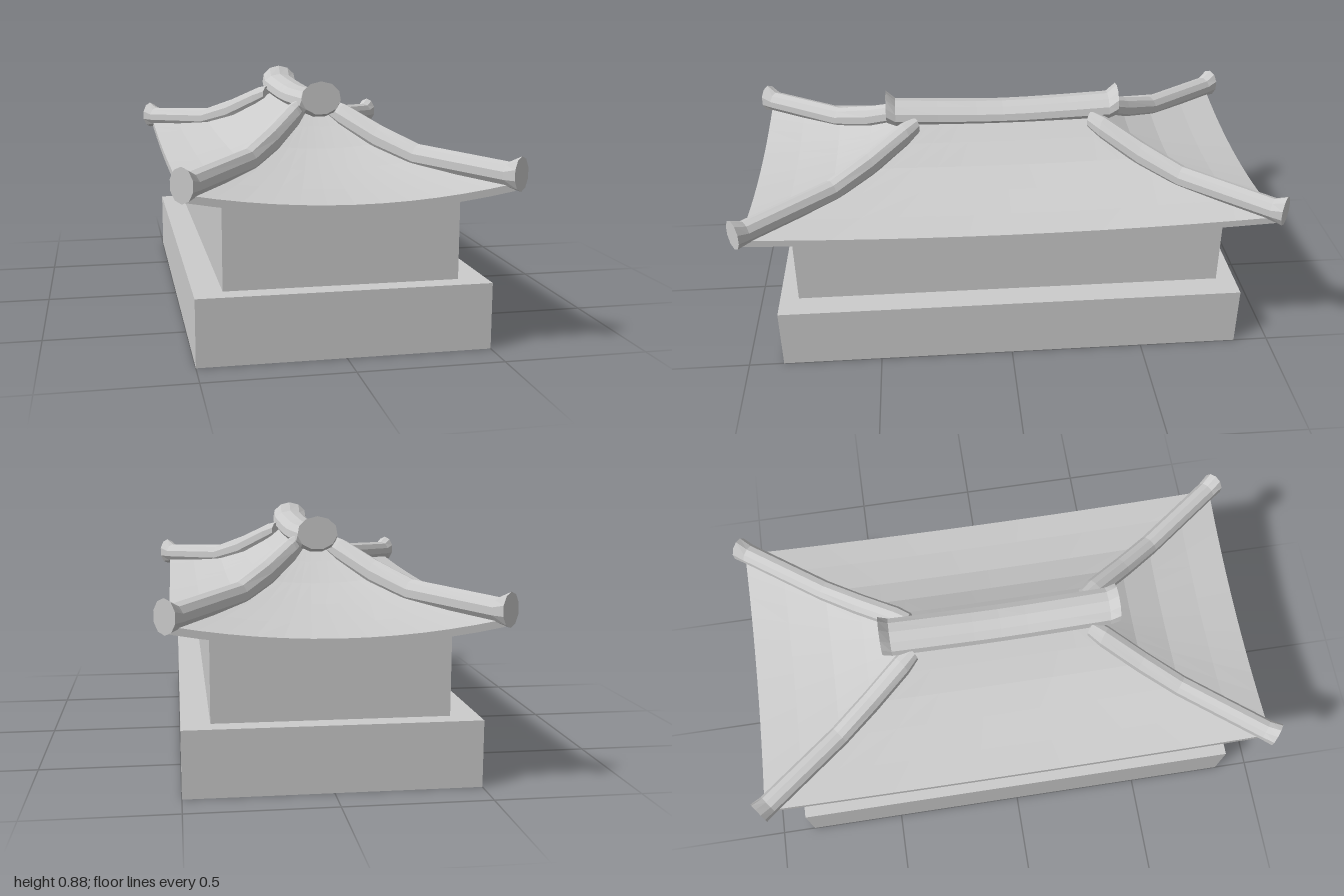
import * as THREE from 'three';

const grey = new THREE.MeshStandardMaterial({ color: 0xcccccc, flatShading: true, side: THREE.DoubleSide });

// Skin a list of closed rings (arrays of Vector3), with optional end caps.
function loft(name, rings, caps = [true, true]) {
  const n = rings[0].length, pos = [], idx = [];
  rings.forEach(r => r.forEach(p => pos.push(p.x, p.y, p.z)));
  for (let i = 0; i < rings.length - 1; i++) {
    for (let j = 0; j < n; j++) {
      const k = (j + 1) % n;
      const a = i * n + j, b = i * n + k, c = a + n, d = b + n;
      idx.push(a, b, d, a, d, c);
    }
  }
  [0, rings.length - 1].forEach((r, e) => {
    if (!caps[e]) return;
    const centre = rings[r].reduce((s, p) => s.add(p), new THREE.Vector3()).divideScalar(n);
    const ci = pos.length / 3;
    pos.push(centre.x, centre.y, centre.z);
    for (let j = 0; j < n; j++) {
      const a = r * n + j, b = r * n + (j + 1) % n;
      idx.push(ci, e ? a : b, e ? b : a);
    }
  });
  const g = new THREE.BufferGeometry();
  g.setAttribute('position', new THREE.Float32BufferAttribute(pos, 3));
  g.setIndex(idx);
  g.computeVertexNormals();
  const m = new THREE.Mesh(g, grey);
  m.name = name;
  return m;
}

// Upright oval rings along a straight plan line; stations are [x, y, z, rx, ry].
function ridgeTile(name, stations, sides) {
  const at = s => new THREE.Vector3(s[0], s[1], s[2]);
  const dir = at(stations[stations.length - 1]).sub(at(stations[0])).setY(0).normalize();
  const side = new THREE.Vector3(0, 1, 0).cross(dir);
  return loft(name, stations.map(s => Array.from({ length: sides }, (_, j) => {
    const a = Math.PI / 2 + j * 2 * Math.PI / sides;
    const p = at(s).addScaledVector(side, s[3] * Math.cos(a));
    p.y += s[4] * Math.sin(a);
    return p;
  })));
}

// Rectangular ring whose sides sag between raised corners.
function sagRing(hx, hz, y, sag) {
  const seg = 12, ring = [];
  const corners = [[1, 1], [1, -1], [-1, -1], [-1, 1]];
  corners.forEach(([x, z], c) => {
    const [x2, z2] = corners[(c + 1) % 4];
    const drop = (c % 2 ? 0.05 : 0.025) * sag;
    for (let i = 0; i < seg; i++) {
      const t = i / seg, u = 2 * t - 1;
      ring.push(new THREE.Vector3(
        hx * (x + (x2 - x) * t), y - drop * (1 - u * u), hz * (z + (z2 - z) * t)));
    }
  });
  return ring;
}

function box(name, w, y0, y1, d) {
  const m = new THREE.Mesh(new THREE.BoxGeometry(w, y1 - y0, d), grey);
  m.position.y = (y0 + y1) / 2;
  m.name = name;
  return m;
}

export function createModel() {
  const model = new THREE.Group();
  model.name = 'hipRoofPavilion';

  // Plinth and walls
  model.add(box('plinth', 1, 0, 0.23, 1.74));
  model.add(box('walls', 0.805, 0.23, 0.56, 1.6));

  // Roof: soffit, eave edge, then the concave slope up to the ridge
  const hipZ = x => 0.345 + (x - 0.07) * 1.335;
  const slope = [[0.42, 0.598], [0.3, 0.622], [0.2, 0.665], [0.12, 0.722], [0.05, 0.778]];
  model.add(loft('roof', [
    sagRing(0.39, 0.79, 0.56, 1),
    sagRing(0.53, 0.96, 0.56, 1),
    sagRing(0.53, 0.96, 0.585, 1),
    ...slope.map(([x, y]) => sagRing(x, hipZ(x), y, (x - 0.05) / 0.48)),
  ], [false, true]));

  // Main ridge, sagging in the middle with flared ends
  const half = [[0.1, 0.786, 0.046], [0.25, 0.791, 0.047], [0.41, 0.797, 0.049], [0.445, 0.82, 0.06]];
  const station = s => ([z, y, ry]) => [0, y, s * z, 0.073, ry];
  model.add(ridgeTile('mainRidge', [
    ...half.map(station(-1)).reverse(), [0, 0.785, 0, 0.073, 0.045], ...half.map(station(1)),
  ], 11));

  // Four hip ridges running down to flared corner ends
  const hip = [
    [0.065, 0.768, 0.032, 0.035], [0.1, 0.745, 0.04, 0.046], [0.2, 0.678, 0.04, 0.05],
    [0.3, 0.632, 0.04, 0.044], [0.515, 0.611, 0.04, 0.042], [0.542, 0.617, 0.043, 0.058],
  ];
  for (const sx of [1, -1]) {
    for (const sz of [1, -1]) {
      const name = (sz > 0 ? 'front' : 'back') + (sx > 0 ? 'Left' : 'Right') + 'HipRidge';
      model.add(ridgeTile(name, hip.map(([x, y, rx, ry]) => [sx * x, y, sz * hipZ(x), rx, ry]), 10));
    }
  }
  return model;
}
